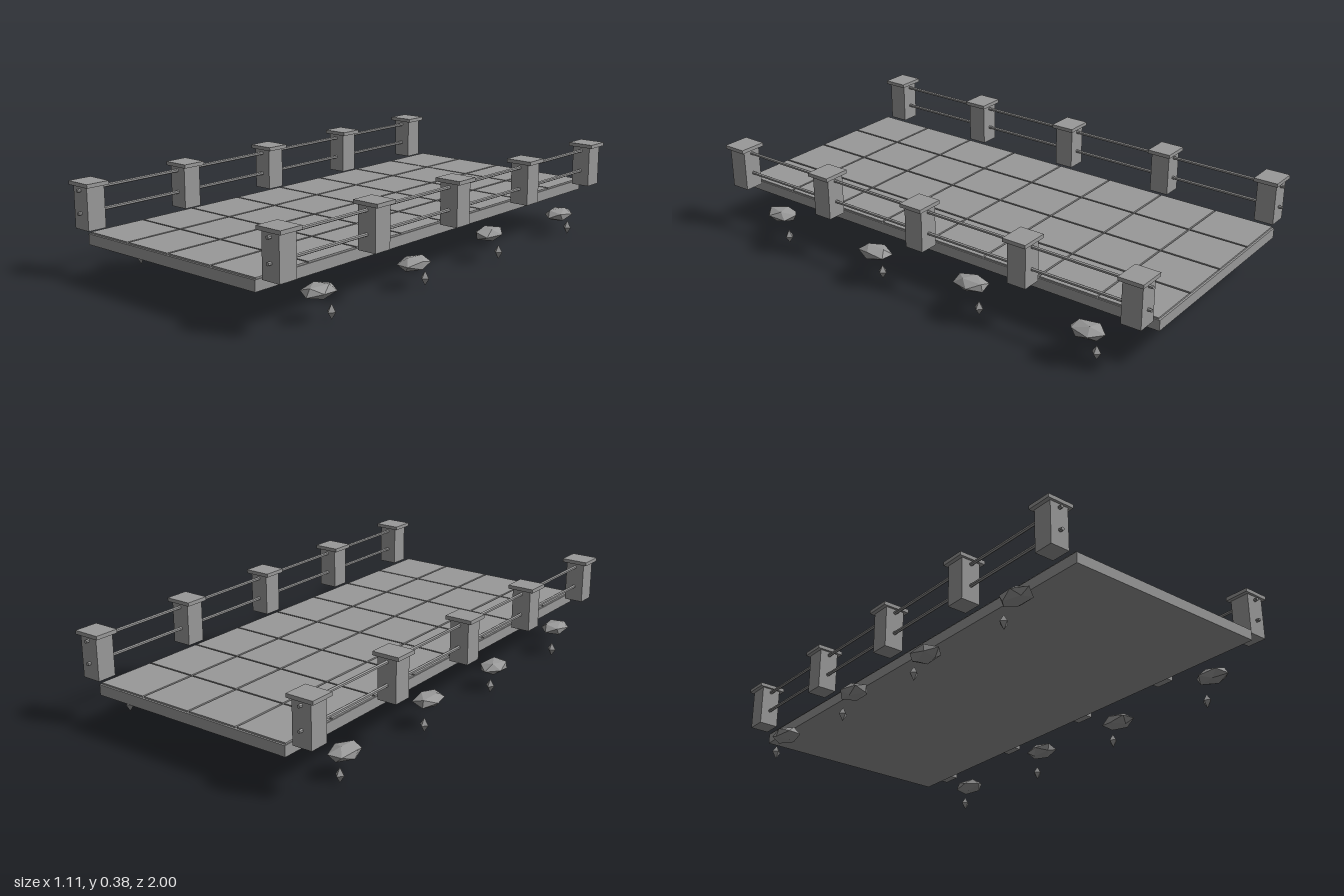
import * as THREE from 'three';

export function createModel() {
  const group = new THREE.Group();
  group.name = 'stoneBridge';
  const stone = new THREE.MeshStandardMaterial({ color: 0x999999, flatShading: true });
  stone.name = 'stone grey';

  const add = (name, geometry, x, y, z, parent = group) => {
    const mesh = new THREE.Mesh(geometry, stone);
    mesh.name = name;
    mesh.position.set(x, y, z);
    parent.add(mesh);
    return mesh;
  };

  // Deck slab
  add('deck', new THREE.BoxGeometry(0.88, 0.042, 2), 0, 0.176, 0);

  // Paving tiles, 4 across and 8 along, with narrow joints
  const paving = new THREE.Group();
  paving.name = 'paving';
  group.add(paving);
  const tile = new THREE.BoxGeometry(0.212, 0.006, 0.242);
  for (let i = 0; i < 4; i++) {
    for (let j = 0; j < 8; j++) {
      add('tile', tile, (i - 1.5) * 0.22, 0.2, (j - 3.5) * 0.249, paving);
    }
  }

  const post = new THREE.BoxGeometry(0.08, 0.168, 0.08);
  const cap = new THREE.BoxGeometry(0.112, 0.015, 0.1);
  const rail = new THREE.CylinderGeometry(0.007, 0.007, 2, 6).rotateX(Math.PI / 2);
  const crystal = new THREE.OctahedronGeometry(1).scale(0.019, 0.029, 0.019);
  const rockZ = [0.755, 0.24, -0.235, -0.75];

  for (const side of [1, -1]) {
    const x = side * 0.499;

    // Capped posts
    for (let i = -2; i <= 2; i++) {
      const z = i * 0.4725;
      add('post', post, x, 0.282, z);
      add('postCap', cap, x, 0.3735, z);
    }

    // Two rails running through the posts
    for (const y of [0.35, 0.262]) add('rail', rail, x, y, 0);

    // Floating rocks, each with a small crystal below
    rockZ.forEach((z, i) => {
      const turn = i * 1.3 + (side > 0 ? 0.2 : 0.9);
      const rock = new THREE.IcosahedronGeometry(1, 0)
        .rotateY(turn)
        .rotateX(0.15 * (i - 1.5))
        .scale(0.054, 0.029, 0.077);
      add('floatingRock', rock, side * 0.494, i % 2 ? 0.097 : 0.115, z);
      add('crystal', crystal, side * 0.509, 0.031, z - 0.048);
    });
  }
  return group;
}
